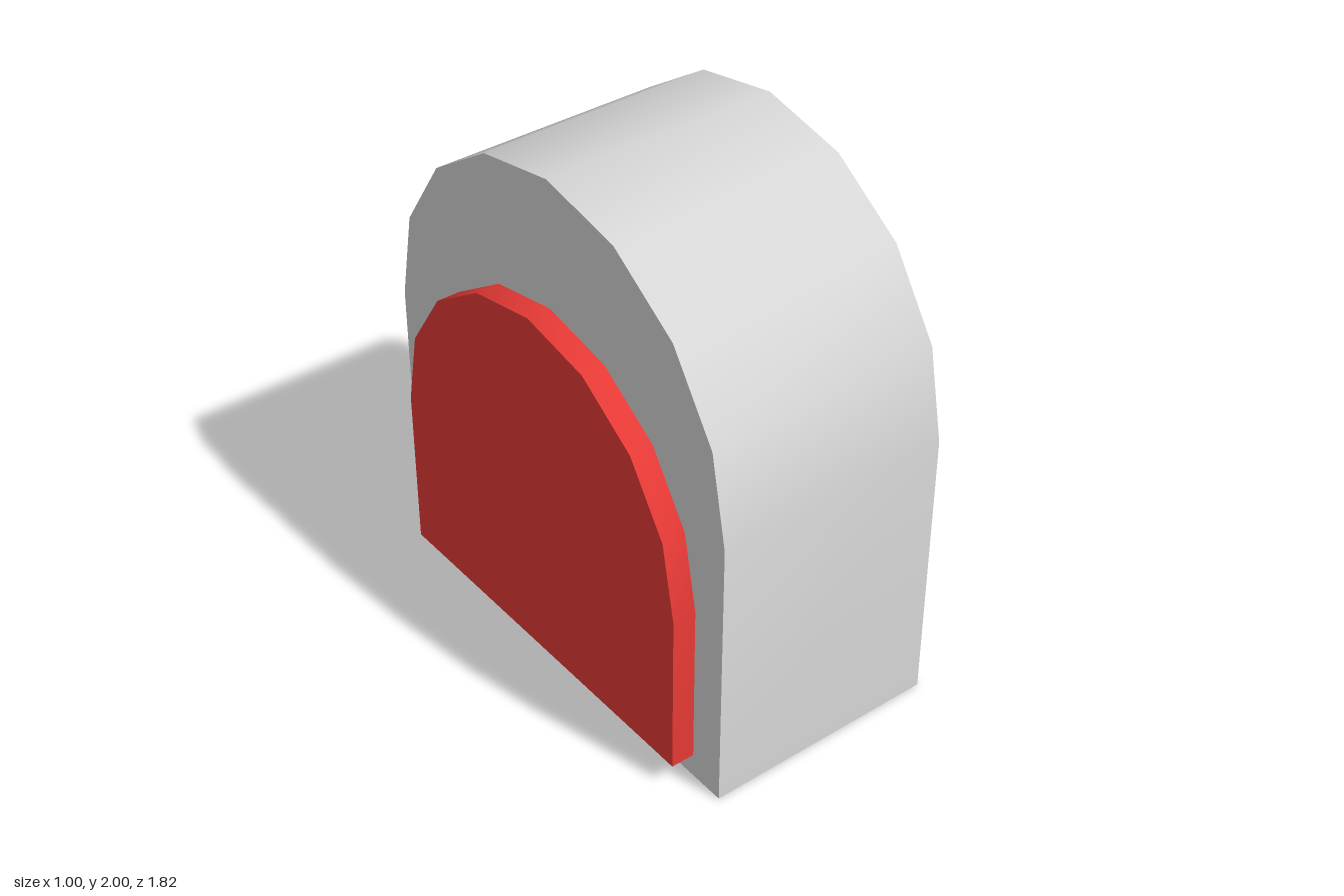
import * as THREE from 'three';
import { toCreasedNormals } from 'three/addons/utils/BufferGeometryUtils.js';

// Upright slab with a half-round top of eight sides, extruded along x from x0 to x1
function archSlab(name, radius, bottom, spring, x0, x1, material) {
  const shape = new THREE.Shape();
  shape.moveTo(-radius, bottom);
  shape.lineTo(radius, bottom);
  shape.lineTo(radius, spring);
  shape.absarc(0, spring, radius, 0, Math.PI, false);
  shape.closePath();
  const extruded = new THREE.ExtrudeGeometry(shape, {
    depth: x1 - x0, bevelEnabled: false, curveSegments: 4,
  });
  extruded.rotateY(Math.PI / 2).translate(x0, 0, 0);
  const mesh = new THREE.Mesh(toCreasedNormals(extruded, 0.7), material);
  mesh.name = name;
  return mesh;
}

export function createModel() {
  const grey = new THREE.MeshStandardMaterial({ color: 0xd6d6d6 });
  grey.name = 'light grey';
  const red = new THREE.MeshStandardMaterial({ color: 0xe53935 });
  red.name = 'red';

  const model = new THREE.Group();
  model.name = 'archedBlock';
  // Main body
  model.add(archSlab('body', 0.91, 0, 1.09, -0.41, 0.5, grey));
  // Smaller raised panel on the right side
  model.add(archSlab('sidePanel', 0.77, 0.095, 0.74, -0.5, -0.41, red));
  return model;
}
